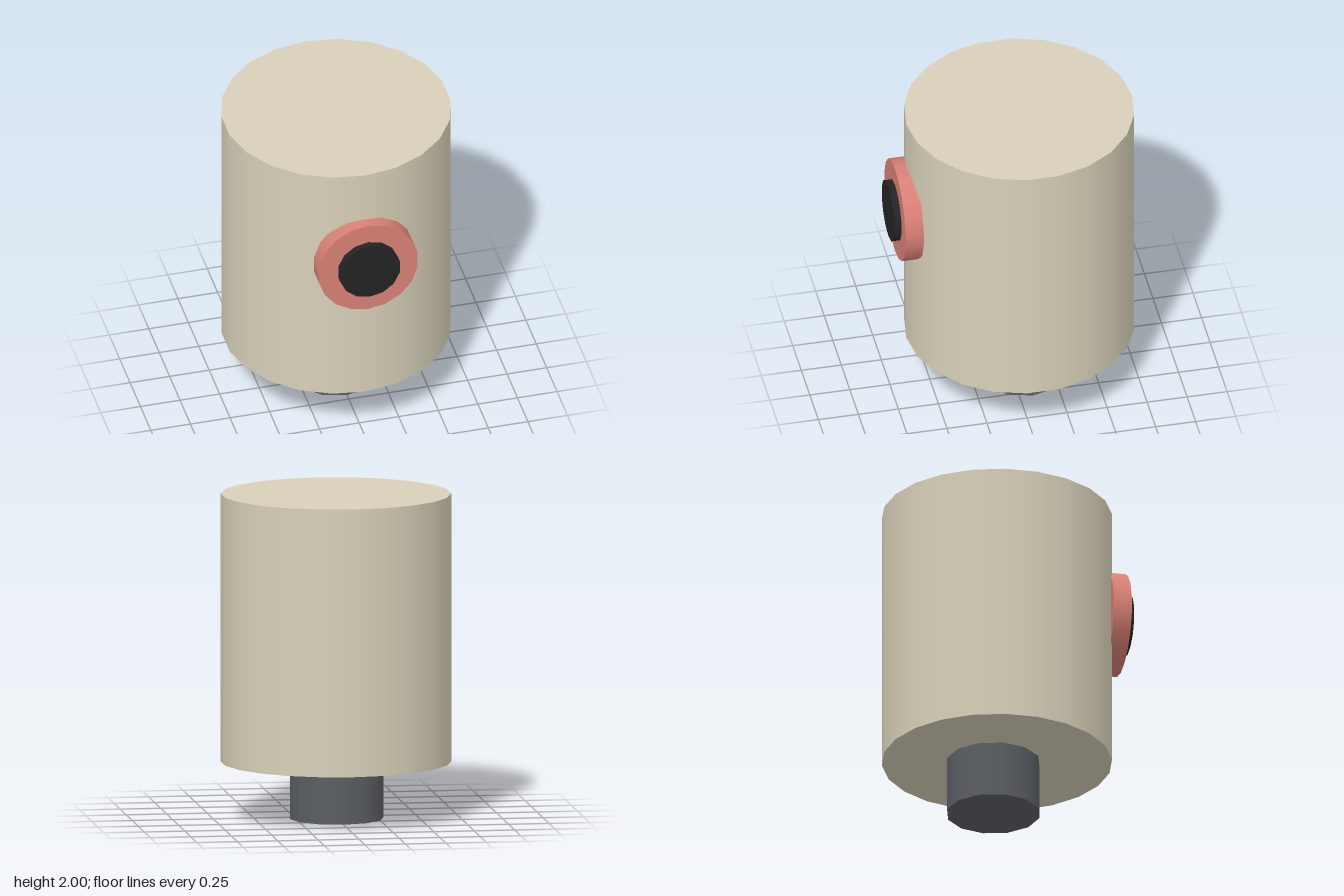
import * as THREE from 'three';

const material = (name, color) => {
  const m = new THREE.MeshStandardMaterial({ color });
  m.name = name;
  return m;
};

export function createModel() {
  const cream = material('cream', 0xd8d0b8);
  const slate = material('slate grey', 0x5a5e63);
  const coral = material('coral', 0xd98076);
  const black = material('black', 0x242424);
  const model = new THREE.Group();

  // Upright cylinder standing between two heights
  const upright = (name, radius, sides, y0, y1, z, mat) => {
    const mesh = new THREE.Mesh(new THREE.CylinderGeometry(radius, radius, y1 - y0, sides), mat);
    mesh.name = name;
    mesh.position.set(0, (y0 + y1) / 2, z);
    model.add(mesh);
  };

  // Disc facing the front, between two depths
  const disc = (name, radius, sides, z0, z1, mat) => {
    const geometry = new THREE.CylinderGeometry(radius, radius, z1 - z0, sides);
    geometry.rotateX(Math.PI / 2);
    const mesh = new THREE.Mesh(geometry, mat);
    mesh.name = name;
    mesh.position.set(0, 1.348, (z0 + z1) / 2);
    model.add(mesh);
  };

  upright('body', 0.705, 22, 0.348, 2, -0.057, cream);
  upright('neck', 0.289, 12, 0, 0.35, -0.08, slate);
  disc('eyeRing', 0.317, 18, 0.605, 0.718, coral);
  disc('pupil', 0.193, 14, 0.7, 0.76, black);

  return model;
}
